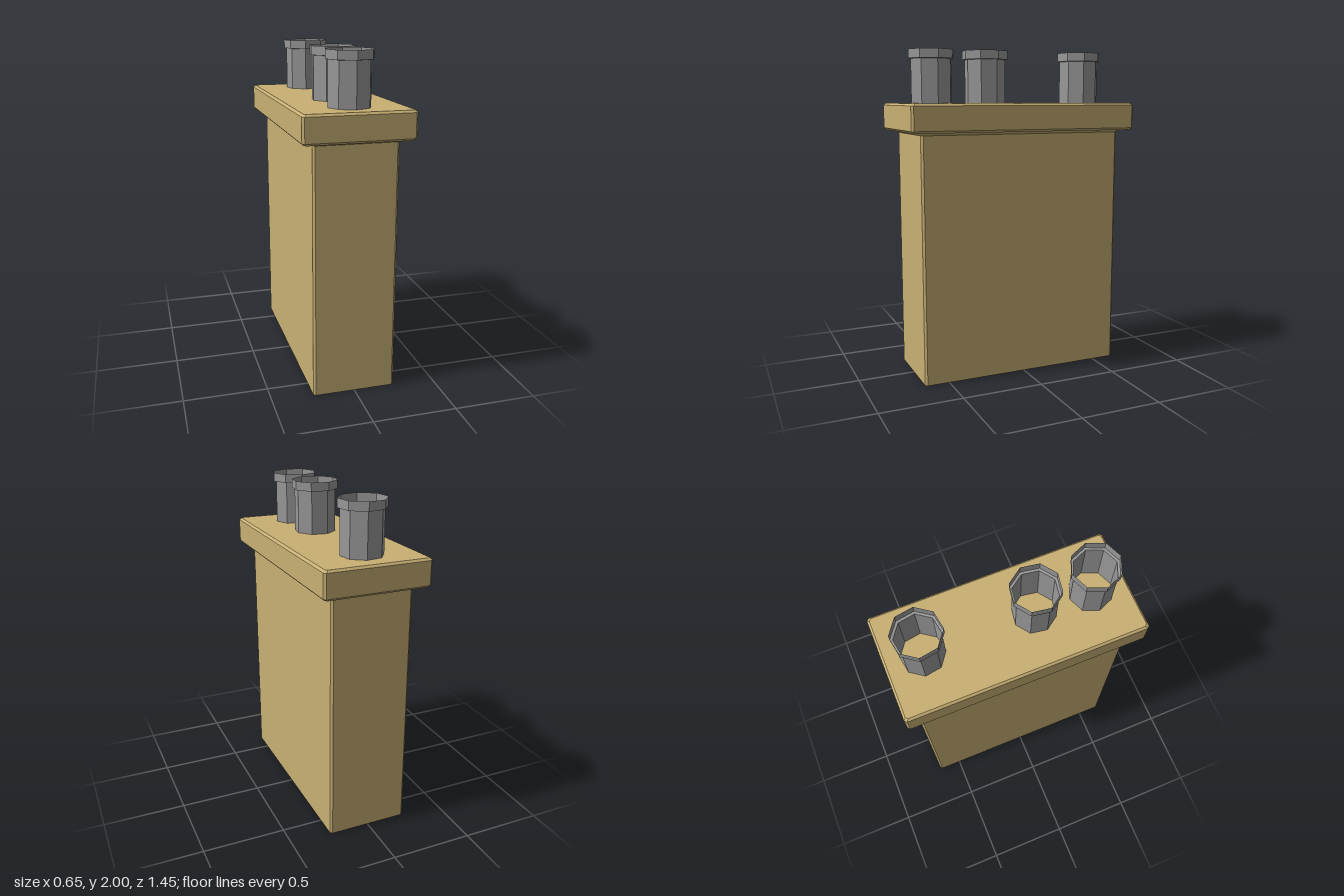
import * as THREE from 'three';

const brick = new THREE.MeshStandardMaterial({ color: 0xc8b074, flatShading: true, side: THREE.DoubleSide });
const clay = new THREE.MeshStandardMaterial({ color: 0x999999, flatShading: true, side: THREE.DoubleSide });

// Rectangle with chamfered corners, counter-clockwise seen from above
function ring([hx, hz, y], c) {
  return [
    [hx, hz - c], [hx, c - hz], [hx - c, -hz], [c - hx, -hz],
    [-hx, c - hz], [-hx, hz - c], [c - hx, hz], [hx - c, hz],
  ].map(([x, z]) => [x, y, z]);
}

// Skin stacked chamfered rectangles [halfX, halfZ, y]; optionally close the top
function loft(sections, chamfer, closeTop) {
  const rings = sections.map((s) => ring(s, chamfer));
  const pos = [];
  const tri = (a, b, c) => pos.push(...a, ...b, ...c);
  for (let i = 0; i < rings.length - 1; i++) {
    const lo = rings[i], hi = rings[i + 1];
    for (let k = 0; k < 8; k++) {
      const n = (k + 1) % 8;
      tri(lo[k], lo[n], hi[n]);
      tri(lo[k], hi[n], hi[k]);
    }
  }
  if (closeTop) {
    const top = rings[rings.length - 1];
    for (let k = 1; k < 7; k++) tri(top[0], top[k], top[k + 1]);
  }
  const geo = new THREE.BufferGeometry();
  geo.setAttribute('position', new THREE.Float32BufferAttribute(pos, 3));
  geo.computeVertexNormals();
  return geo;
}

function add(parent, name, geo, mat) {
  const mesh = new THREE.Mesh(geo, mat);
  mesh.name = name;
  parent.add(mesh);
  return mesh;
}

export function createModel() {
  const model = new THREE.Group();
  model.name = 'chimney';

  // Hollow stack, open below, flaring slightly under the cap
  add(model, 'stack', loft([
    [0.25, 0.65, 0], [0.25, 0.65, 1.5], [0.265, 0.665, 1.515],
  ], 0.013, false), brick);

  // Overhanging cap slab with bevelled edges
  add(model, 'cap', loft([
    [0.265, 0.665, 1.515], [0.312, 0.712, 1.515], [0.325, 0.725, 1.528],
    [0.325, 0.725, 1.67], [0.312, 0.712, 1.683],
  ], 0.013, true), brick);

  // Octagonal thin-walled pots, each with a wider rim
  const profile = [[0.127, 1.683], [0.127, 1.945], [0.142, 1.947], [0.142, 2]]
    .map(([r, y]) => new THREE.Vector2(r, y));
  const potGeo = new THREE.LatheGeometry(profile, 8);
  [['frontPot', 0.504, 0], ['middlePot', 0.158, 13.3], ['backPot', -0.502, -13.3]].forEach(([name, z, turn]) => {
    const pot = add(model, name, potGeo, clay);
    pot.position.z = z;
    pot.rotation.y = THREE.MathUtils.degToRad(turn);
  });

  return model;
}
